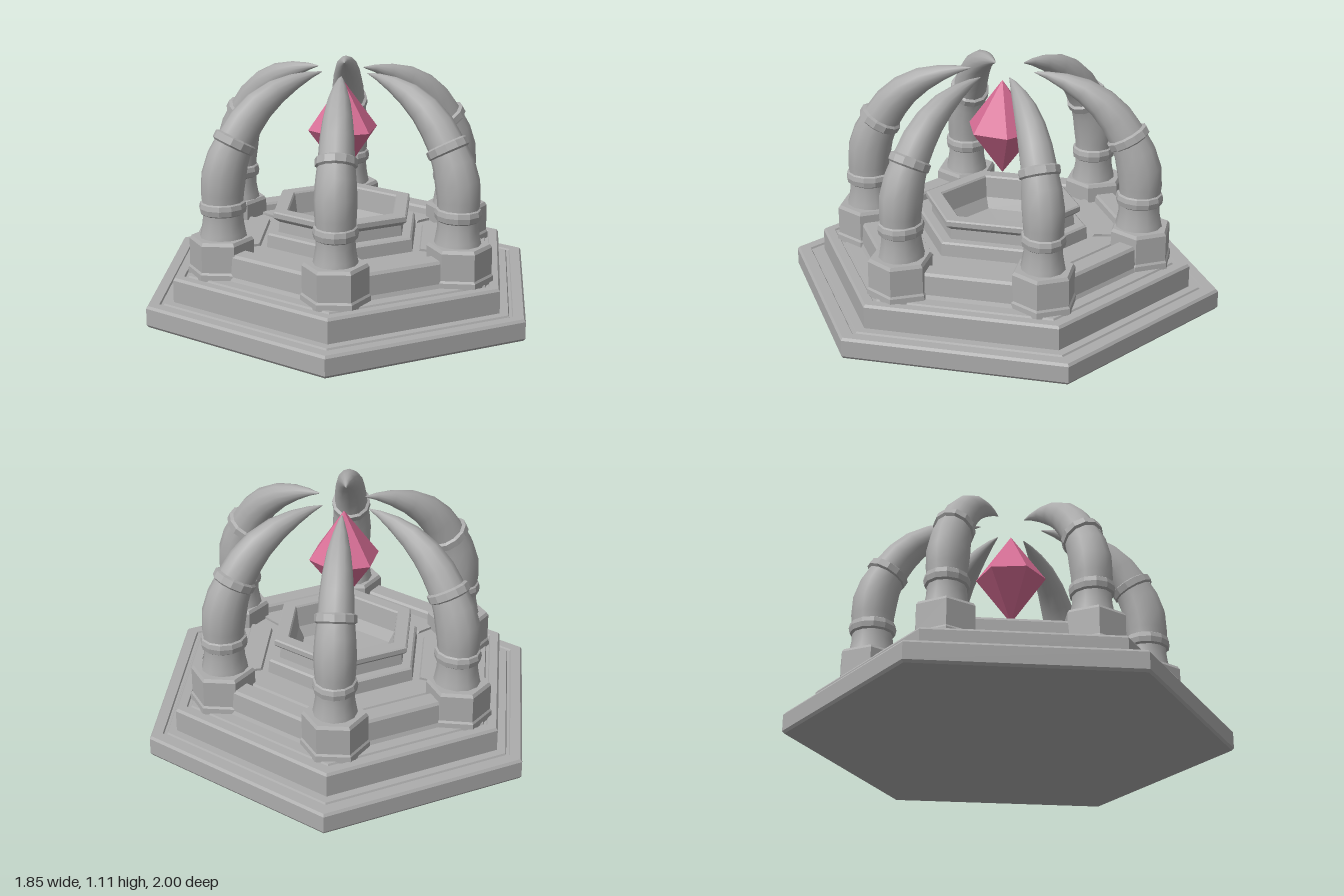
import * as THREE from 'three';

const V = (x, y, z) => new THREE.Vector3(x, y, z);

// Joins equal-sized rings of points (bottom to top) into one skin
function loft(rings, smooth = false) {
  const n = rings[0].length, index = [];
  for (let j = 0; j < rings.length - 1; j++) {
    for (let i = 0; i < n; i++) {
      const k = (i + 1) % n;
      const a = j * n + i, b = j * n + k, c = b + n, d = a + n;
      index.push(a, b, c, a, c, d);
    }
  }
  let geo = new THREE.BufferGeometry().setFromPoints(rings.flat());
  geo.setIndex(index);
  if (!smooth) geo = geo.toNonIndexed();
  geo.computeVertexNormals();
  return geo;
}

// Turned, slightly uneven hexagon of the plinth
const half = [[0.13, 1.0], [0.925, 0.35], [0.80, -0.66]];
const corners = [...half, ...half.map(([x, z]) => [-x, -z])];
const hexTier = profile => loft(profile.map(([s, y]) => corners.map(([x, z]) => V(x * s, y, z * s))));

// Regular ring of points around the y axis
function ring(r, y, sides, turn = 0) {
  return Array.from({ length: sides }, (_, i) => {
    const a = turn + i / sides * Math.PI * 2;
    return V(r * Math.sin(a), y, r * Math.cos(a));
  });
}

// Bent horn: spine points [outward distance, height, radius], bending in the yz plane
function horn(spine, smooth, sides = 10) {
  const rings = spine.map(([z, y, r], j) => {
    const p = spine[Math.max(j - 1, 0)], q = spine[Math.min(j + 1, spine.length - 1)];
    const tz = q[0] - p[0], ty = q[1] - p[1], len = Math.hypot(tz, ty);
    return ring(r, 0, sides).map(v => V(v.x * 0.92, y - v.z * tz / len, z + v.z * ty / len));
  });
  return loft(rings, smooth);
}

export function createModel() {
  const model = new THREE.Group();
  const stone = new THREE.MeshStandardMaterial({ color: 0xacacac });
  stone.name = 'grey stone';
  const pink = new THREE.MeshStandardMaterial({ color: 0xd66c94 });
  pink.name = 'pink crystal';

  function add(parent, name, geo, mat = stone) {
    const mesh = new THREE.Mesh(geo, mat);
    mesh.name = name;
    parent.add(mesh);
    return mesh;
  }

  // Stepped plinth with shallow grooves along the treads
  add(model, 'baseStep', hexTier([
    [0, 0], [0.99, 0], [1, 0.012], [1, 0.09], [0.99, 0.102], [0.935, 0.102],
    [0.93, 0.094], [0.915, 0.094], [0.91, 0.102], [0.8, 0.102],
  ]));
  add(model, 'middleStep', hexTier([
    [0.865, 0.1], [0.865, 0.205], [0.855, 0.217], [0.81, 0.217],
    [0.805, 0.209], [0.79, 0.209], [0.785, 0.217], [0.6, 0.217],
  ]));
  add(model, 'upperRim', hexTier([
    [0.725, 0.215], [0.715, 0.235], [0.71, 0.325], [0.70, 0.338],
    [0.61, 0.338], [0.6, 0.328], [0.595, 0.3], [0.3, 0.3],
  ]));

  // Raised floor slabs, one to each side
  corners.forEach(([x0, z0], i) => {
    const [x1, z1] = corners[(i + 1) % 6];
    const at = (s, t, y) => V((x0 + (x1 - x0) * t) * s, y, (z0 + (z1 - z0) * t) * s);
    const slab = (g, y) => [at(0.56 - g, 0.1, y), at(0.56 - g, 0.9, y), at(0.43 + g, 0.93, y), at(0.43 + g, 0.07, y)];
    const centre = at(0.49, 0.5, 0.312);
    add(model, 'floorSlab', loft([slab(0, 0.299), slab(0.008, 0.312), Array(4).fill(centre)]));
  });

  // Central basin: foot, wall, lip and hollow
  add(model, 'basin', hexTier([
    [0.395, 0.3], [0.39, 0.358], [0.38, 0.366], [0.335, 0.366], [0.33, 0.415], [0.355, 0.432],
    [0.36, 0.438], [0.36, 0.46], [0.352, 0.466], [0.29, 0.466], [0.283, 0.458], [0.27, 0.36], [0.24, 0.31], [0, 0.305],
  ]));

  // Six horns on hexagonal pedestals, all curving to the middle
  const R = 0.63;
  const spine = [
    [R, 0.38, 0.112], [R, 0.41, 0.105], [R, 0.46, 0.096], [R, 0.52, 0.094], [0.632, 0.59, 0.1], [0.624, 0.67, 0.104],
    [0.602, 0.75, 0.098], [0.563, 0.83, 0.088], [0.51, 0.91, 0.083], [0.445, 0.978, 0.073],
    [0.36, 1.035, 0.058], [0.27, 1.073, 0.038], [0.19, 1.096, 0.018], [0.13, 1.106, 0.002],
  ];
  const lowerBand = [[R, 0.493, 0.09], [R, 0.503, 0.106], [R, 0.528, 0.111], [R, 0.55, 0.106], [R, 0.56, 0.09]];
  const upperBand = [[0.581, 0.80, 0.09], [0.577, 0.807, 0.102], [0.561, 0.835, 0.102], [0.557, 0.842, 0.086]];
  const turn = Math.PI / 6;
  const pedestal = loft([
    ring(0.157, 0.21, 6, turn), ring(0.155, 0.24, 6, turn), ring(0.148, 0.25, 6, turn),
    ring(0.148, 0.375, 6, turn), ring(0.138, 0.39, 6, turn), ring(0, 0.39, 6, turn),
  ]).translate(0, 0, R + 0.01);
  const hornGeo = horn(spine, true, 12);
  const lowerGeo = horn(lowerBand, false, 12), upperGeo = horn(upperBand, false, 12);

  const halfSpots = [[0.085, 0.635], [0.57, 0.21], [0.49, -0.425]];
  [...halfSpots, ...halfSpots.map(([x, z]) => [-x, -z])].forEach(([x, z]) => {
    const pillar = new THREE.Group();
    pillar.name = 'hornPillar';
    const angle = Math.atan2(x, z), shift = Math.hypot(x, z) - R;
    pillar.rotation.y = angle;
    pillar.position.set(Math.sin(angle) * shift, 0, Math.cos(angle) * shift);
    add(pillar, 'pedestal', pedestal);
    add(pillar, 'horn', hornGeo);
    add(pillar, 'lowerBand', lowerGeo);
    add(pillar, 'upperBand', upperGeo);
    model.add(pillar);
  });

  // Floating six-sided crystal
  add(model, 'crystal', loft([ring(0, 0.6, 6), ring(0.167, 0.828, 6), ring(0, 1.058, 6)]), pink);

  return model;
}
